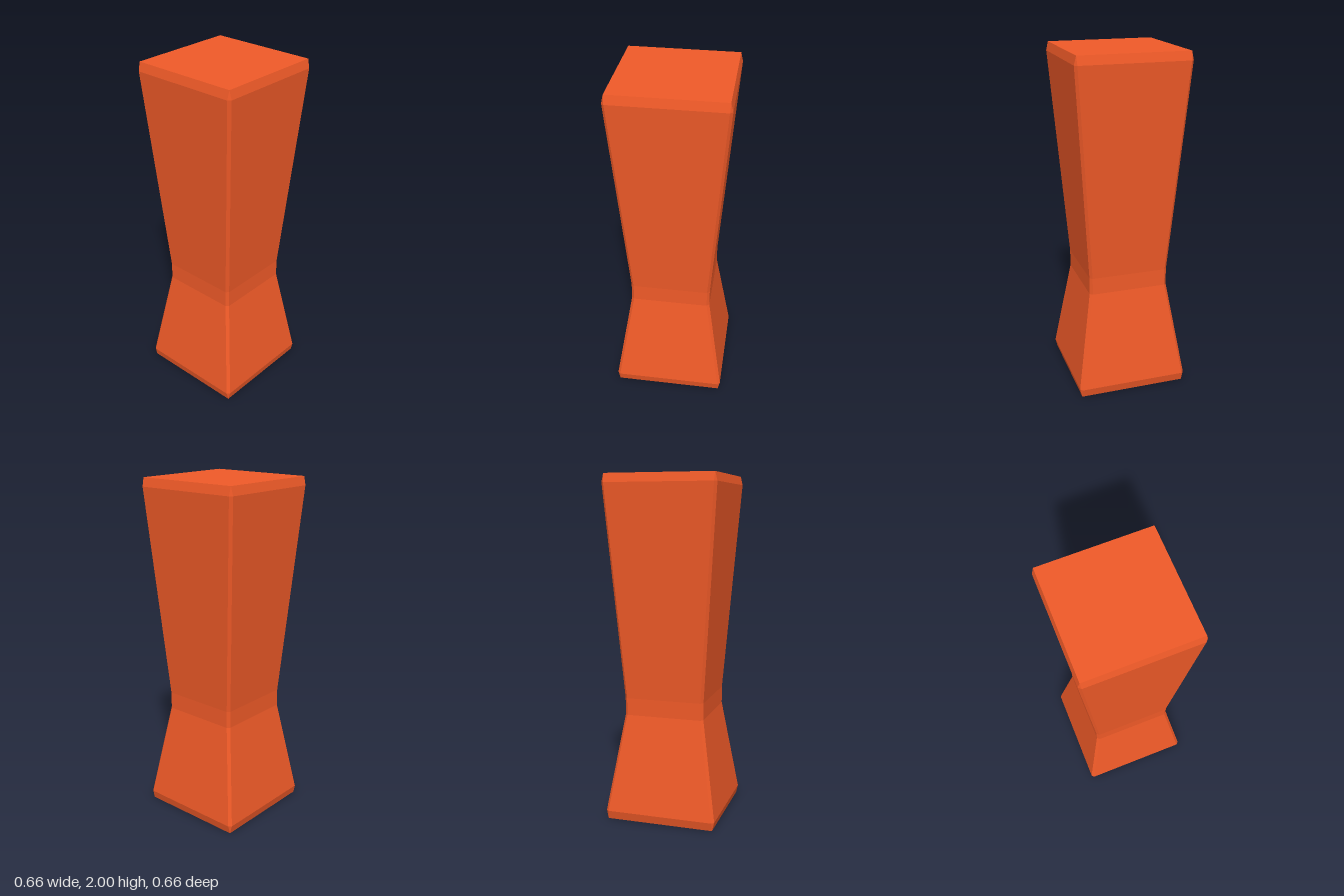
import * as THREE from 'three';

// Square cross-sections from the base up: [height, half width, corner bevel]
const SECTIONS = [
  [0, 0.316, 0],
  [0.05, 0.328, 0.015],
  [0.62, 0.236, 0.015],
  [0.72, 0.236, 0.015],
  [1.95, 0.328, 0.015],
  [2, 0.316, 0],
];

// Eight points of a bevelled square, counter-clockwise seen from above
function ring([y, h, bevel]) {
  const points = [];
  for (let i = 0; i < 4; i++) {
    for (const side of [-1, 1]) {
      points.push(new THREE.Vector3(h, y, -side * (h - bevel))
        .applyAxisAngle(new THREE.Vector3(0, 1, 0), i * Math.PI / 2));
    }
  }
  return points;
}

function loft(sections) {
  const positions = [];
  // Leave out triangles that collapse where the bevel runs to a point
  const triangle = (a, b, c) => {
    if (new THREE.Triangle(a, b, c).getArea() < 1e-7) return;
    for (const p of [a, b, c]) positions.push(p.x, p.y, p.z);
  };
  const rings = sections.map(ring);

  // Walls
  for (let k = 0; k < rings.length - 1; k++) {
    const low = rings[k], high = rings[k + 1];
    for (let j = 0; j < 8; j++) {
      const n = (j + 1) % 8;
      triangle(low[j], low[n], high[n]);
      triangle(low[j], high[n], high[j]);
    }
  }

  // End faces
  const bottom = rings[0], top = rings[rings.length - 1];
  for (let j = 1; j < 7; j++) {
    triangle(top[0], top[j], top[j + 1]);
    triangle(bottom[0], bottom[j + 1], bottom[j]);
  }

  const geometry = new THREE.BufferGeometry();
  geometry.setAttribute('position', new THREE.Float32BufferAttribute(positions, 3));
  geometry.computeVertexNormals();
  return geometry;
}

export function createModel() {
  const group = new THREE.Group();
  group.name = 'waistedPillar';
  const material = new THREE.MeshStandardMaterial({ color: 0xf05a28, flatShading: true });
  const body = new THREE.Mesh(loft(SECTIONS), material);
  body.name = 'pillarBody';
  group.add(body);
  return group;
}
